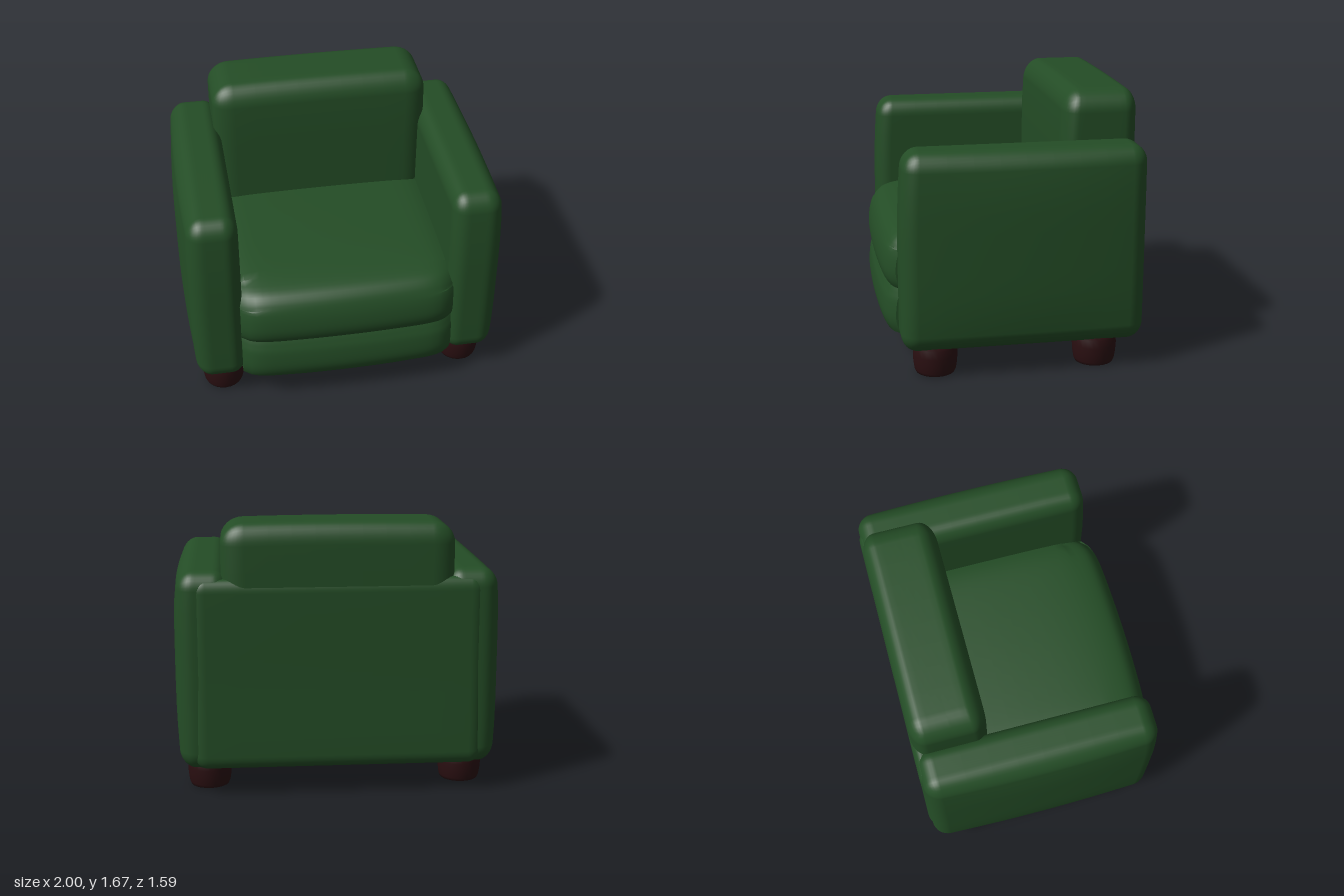
import * as THREE from 'three';
import { mergeVertices, toCreasedNormals } from 'three/addons/utils/BufferGeometryUtils.js';

const fabric = new THREE.MeshStandardMaterial({ color: 0x244d26 });
fabric.name = 'green fabric';
const wood = new THREE.MeshStandardMaterial({ color: 0x2a0f11 });
wood.name = 'dark wood';

function addMesh(group, name, geometry, material) {
  const mesh = new THREE.Mesh(geometry, material);
  mesh.name = name;
  group.add(mesh);
  return mesh;
}

// Drops the face normals and seams so the surface can be smoothed as a whole
function weld(geometry) {
  geometry.deleteAttribute('normal');
  geometry.deleteAttribute('uv');
  return mergeVertices(geometry, 1e-4);
}

// Padded block between two corners, with a corner radius for each axis.
// deform(p, t) may shift each point; t runs -1..1 across the block.
function softBox(min, max, radius, deform) {
  const geometry = weld(new THREE.BoxGeometry(2, 2, 2, 16, 16, 16));
  const pos = geometry.attributes.position;
  const t = new THREE.Vector3(), p = new THREE.Vector3(), q = new THREE.Vector3(), flat = new THREE.Vector3();
  for (let i = 0; i < pos.count; i++) {
    t.fromBufferAttribute(pos, i);
    for (let a = 0; a < 3; a++) {
      const v = t.getComponent(a), s = Math.sign(v), d = Math.abs(v);
      const inner = (max[a] - min[a]) / 2 - radius[a];
      flat.setComponent(a, s * Math.min(d * 2, 1) * inner);
      q.setComponent(a, s * Math.tan(Math.max(d * 2 - 1, 0) * Math.PI / 4));
    }
    q.normalize();
    for (let a = 0; a < 3; a++) {
      p.setComponent(a, (min[a] + max[a]) / 2 + flat.getComponent(a) + q.getComponent(a) * radius[a]);
      t.setComponent(a, (p.getComponent(a) - (min[a] + max[a]) / 2) / ((max[a] - min[a]) / 2));
    }
    if (deform) deform(p, t);
    pos.setXYZ(i, p.x, p.y, p.z);
  }
  geometry.computeVertexNormals();
  return geometry;
}

// Side profile (z, y) swept across the seat, with its front ends drawn in
function seatPart(points, closing, halfWidth) {
  const shape = new THREE.Shape();
  shape.moveTo(...points[0]);
  shape.splineThru(points.slice(1).map(([z, y]) => new THREE.Vector2(z, y)));
  closing.forEach(([z, y]) => shape.lineTo(z, y));
  shape.closePath();
  let geometry = new THREE.ExtrudeGeometry(shape, {
    depth: halfWidth * 2, steps: 28, bevelEnabled: false, curveSegments: 4,
  });
  geometry.rotateY(-Math.PI / 2).translate(halfWidth, 0, 0);
  geometry = weld(geometry);
  const pos = geometry.attributes.position;
  for (let i = 0; i < pos.count; i++) {
    const u = Math.abs(pos.getX(i)) / halfWidth;
    const y = pos.getY(i), z = pos.getZ(i);
    if (z > 0.55) pos.setZ(i, z - 0.025 * u ** 2 - 0.06 * u ** 12);
    if (y > 0.75) pos.setY(i, y - 0.01 * u ** 2 - 0.025 * u ** 12);
    if (y < 0.2) pos.setY(i, y + 0.03 * u ** 4);
  }
  return toCreasedNormals(geometry, 0.8);
}

export function createModel() {
  const group = new THREE.Group();
  group.name = 'armchair';

  // Arms, swollen on the outer side and leaning back a little at the top
  for (const s of [1, -1]) {
    const xs = s > 0 ? [0.65, 0.95] : [-0.95, -0.65];
    const arm = softBox([xs[0], 0.17, -0.775], [xs[1], 1.385, 0.7], [0.09, 0.11, 0.1], (p, t) => {
      const outer = Math.max(0, t.x * s);
      p.x += s * outer * 0.048 * (1 - t.y ** 4) * (1 - 0.75 * t.z ** 2);
      if (t.z > 0) p.z -= 0.03 * t.z * Math.max(0, t.y) ** 2;
    });
    addMesh(group, s > 0 ? 'leftArm' : 'rightArm', arm, fabric);
  }

  // Backrest
  const back = softBox([-0.695, 0.17, -0.78], [0.695, 1.665, -0.31], [0.14, 0.13, 0.09], (p, t) => {
    if (t.z > 0) p.z -= 0.03 * Math.max(0, t.y) ** 6;
    p.y += 0.008 * Math.max(0, t.y) * (1 - t.x ** 2);
  });
  addMesh(group, 'backrest', back, fabric);

  // Rear panel and underside that join the arms
  addMesh(group, 'rearPanel', softBox([-0.87, 0.18, -0.785], [0.87, 1.34, -0.5], [0.08, 0.08, 0.05], (p, t) => {
    if (t.z < 0) p.z -= 0.008 * Math.max(0, -t.y);
  }), fabric);
  addMesh(group, 'underside', softBox([-0.87, 0.165, -0.74], [0.87, 0.45, 0.62], [0.06, 0.05, 0.06]), fabric);

  // Seat base and cushion
  addMesh(group, 'seatBase', seatPart([
    [-0.7, 0.175], [-0.35, 0.15], [0, 0.14], [0.4, 0.145], [0.62, 0.15], [0.715, 0.165],
    [0.765, 0.21], [0.793, 0.29], [0.787, 0.4], [0.768, 0.46], [0.752, 0.495],
  ], [[0.6, 0.5], [-0.7, 0.5]], 0.67), fabric);
  addMesh(group, 'seatCushion', seatPart([
    [0.735, 0.48], [0.756, 0.492], [0.782, 0.54], [0.791, 0.61], [0.775, 0.71], [0.73, 0.795],
    [0.64, 0.84], [0.4, 0.862], [0, 0.868], [-0.4, 0.865],
  ], [[-0.4, 0.48]], 0.67), fabric);

  // Legs
  const legProfile = [
    [0, 0], [0.1, 0], [0.118, 0.006], [0.126, 0.025], [0.133, 0.07], [0.136, 0.12], [0.134, 0.17], [0.12, 0.2], [0, 0.2],
  ].map(([r, y]) => new THREE.Vector2(r, y));
  for (const s of [1, -1]) {
    for (const [name, z] of [['Front', 0.488], ['Back', -0.5]]) {
      const leg = addMesh(group, (s > 0 ? 'left' : 'right') + name + 'Leg', new THREE.LatheGeometry(legProfile, 24), wood);
      leg.position.set(s * 0.786, 0, z);
    }
  }
  return group;
}
